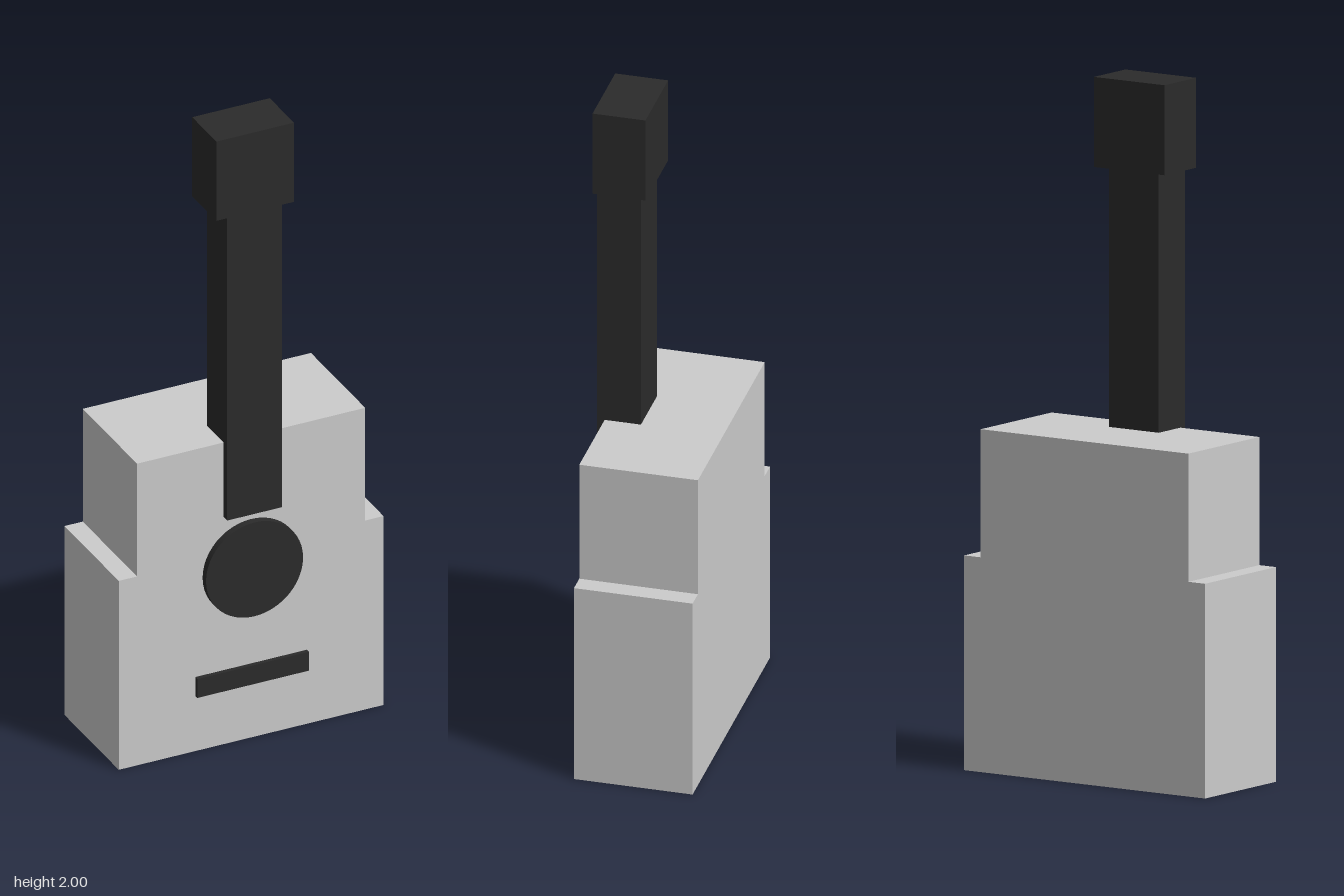
import * as THREE from 'three';

export function createModel() {
  const group = new THREE.Group();
  const grey = new THREE.MeshStandardMaterial({ color: 0xcccccc, flatShading: true });
  const dark = new THREE.MeshStandardMaterial({ color: 0x2b2b2b, flatShading: true });
  const darkSmooth = new THREE.MeshStandardMaterial({ color: 0x2b2b2b });

  const add = (name, geometry, material) => {
    const mesh = new THREE.Mesh(geometry, material);
    mesh.name = name;
    group.add(mesh);
    return mesh;
  };

  // Box centred on x = 0, given its width and its y and z ranges
  const addBox = (name, width, y0, y1, z0, z1) =>
    add(name, new THREE.BoxGeometry(width, y1 - y0, z1 - z0), dark)
      .position.set(0, (y0 + y1) / 2, (z0 + z1) / 2);

  // Body: stepped outline, wide lower part and narrower upper part
  const back = -0.188, front = 0.162;
  const half = [[0.42, 0], [0.42, 0.62], [0.362, 0.62], [0.362, 0.99]];
  const mirrored = half.map(([x, y]) => [-x, y]).reverse();
  const outline = new THREE.Shape([...half, ...mirrored].map(([x, y]) => new THREE.Vector2(x, y)));
  const bodyGeometry = new THREE.ExtrudeGeometry(outline, { depth: front - back, bevelEnabled: false });
  add('body', bodyGeometry.translate(0, 0, back), grey);

  // Neck, sunk into the body front, and head
  addBox('neck', 0.174, 0.745, 1.74, 0.055, 0.184);
  addBox('head', 0.246, 1.74, 2, 0.032, 0.188);

  // Sound hole disc and bridge, raised from the body front
  const disc = new THREE.CylinderGeometry(0.154, 0.154, 0.04, 48).rotateX(Math.PI / 2);
  add('soundHole', disc, darkSmooth).position.set(0, 0.563, 0.164);
  addBox('bridge', 0.354, 0.181, 0.243, 0.14, 0.175);

  return group;
}
